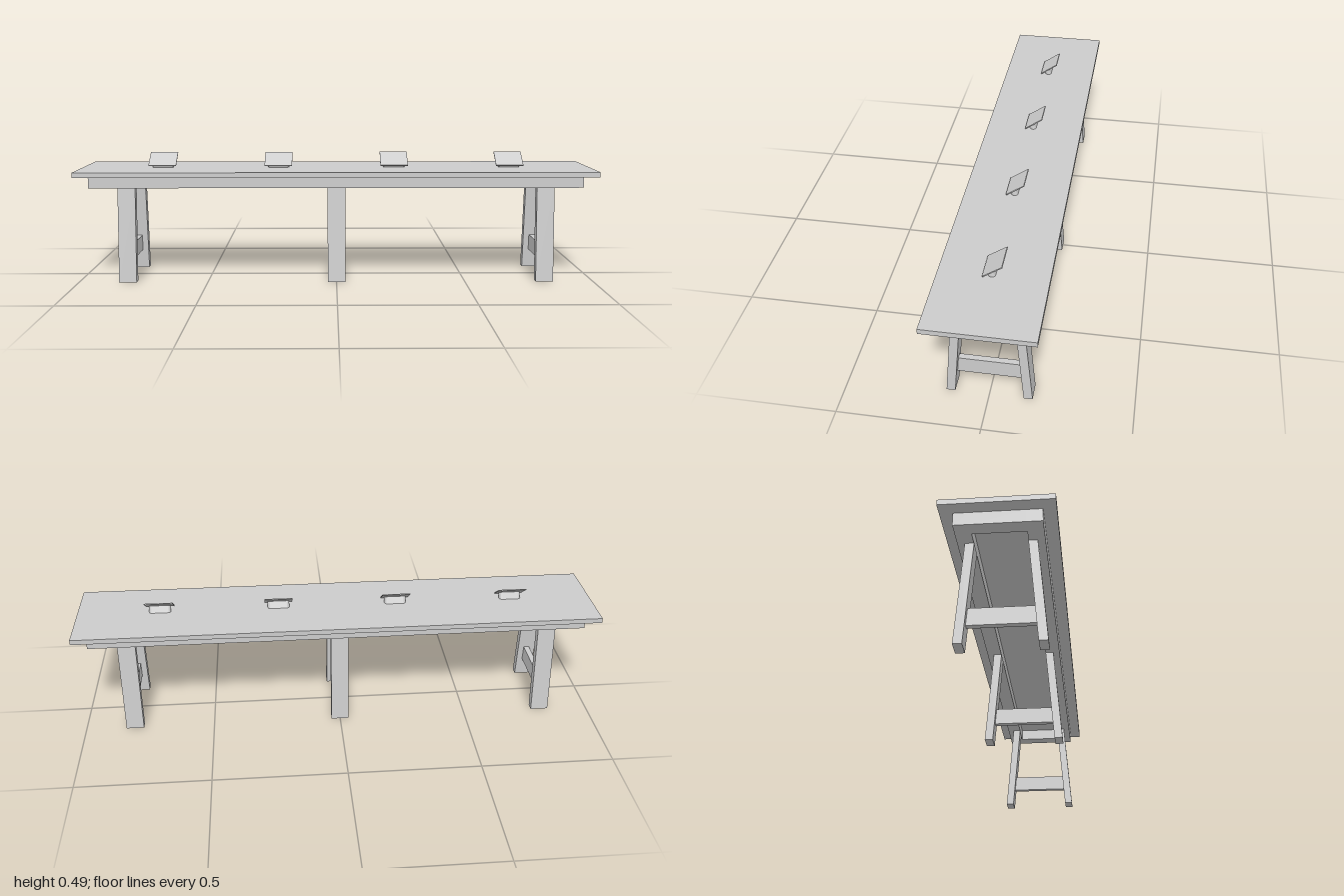
import * as THREE from 'three';

const material = new THREE.MeshStandardMaterial({ color: 0xcccccc });

function add(parent, name, geometry, x = 0, y = 0, z = 0) {
  const mesh = new THREE.Mesh(geometry, material);
  mesh.name = name;
  mesh.position.set(x, y, z);
  parent.add(mesh);
  return mesh;
}

// Prism with a (z, y) outline, centred along x
function prism(outline, width) {
  const shape = new THREE.Shape(outline.map(([z, y]) => new THREE.Vector2(z, y)));
  const g = new THREE.ExtrudeGeometry(shape, { depth: width, bevelEnabled: false });
  return g.translate(0, 0, -width / 2).rotateY(-Math.PI / 2);
}

// Rounded-end bar outline, extruded upward
function stemGeometry(width, depth, height) {
  const r = depth / 2, h = width / 2 - r;
  const s = new THREE.Shape();
  s.moveTo(-h, -r);
  s.lineTo(h, -r);
  s.absarc(h, 0, r, -Math.PI / 2, Math.PI / 2, false);
  s.lineTo(-h, r);
  s.absarc(-h, 0, r, Math.PI / 2, Math.PI * 1.5, false);
  return new THREE.ExtrudeGeometry(s, { depth: height, bevelEnabled: false, curveSegments: 12 })
    .rotateX(-Math.PI / 2);
}

export function createModel() {
  const model = new THREE.Group();
  model.name = 'longTable';

  // Table top
  add(model, 'tableTop', new THREE.BoxGeometry(2, 0.019, 0.378), 0, 0.4235, 0);

  // Open rail frame under the top
  const rail = 0.055, railH = 0.046, railY = 0.391;
  for (const s of [-1, 1]) {
    add(model, 'longRail', new THREE.BoxGeometry(1.9, railH, rail), 0, railY, s * (0.145 - rail / 2));
    add(model, 'endRail', new THREE.BoxGeometry(rail, railH, 0.29 - 2 * rail), s * (0.95 - rail / 2), railY, 0);
  }

  // Trestles: two splayed legs joined by a brace
  const legOutline = [[0.12, 0], [0.151, 0], [0.12, 0.368], [0.089, 0.368]];
  const braceOutline = [[-0.114, 0.075], [0.114, 0.075], [0.1085, 0.137], [-0.1085, 0.137]];
  for (const x of [-0.81, 0, 0.81]) {
    const trestle = new THREE.Group();
    trestle.name = 'trestle';
    trestle.position.x = x;
    add(trestle, 'frontLeg', prism(legOutline, 0.068));
    add(trestle, 'backLeg', prism(legOutline, 0.068)).rotation.y = Math.PI;
    add(trestle, 'brace', prism(braceOutline, 0.022));
    model.add(trestle);
  }

  // Tilted plates on short rounded stems
  for (const x of [-0.684, -0.228, 0.228, 0.684]) {
    const stand = new THREE.Group();
    stand.name = 'tiltedStand';
    stand.position.x = x;
    const stem = add(stand, 'stem', stemGeometry(0.084, 0.023, 0.033), 0, 0.424, 0.0015);
    stem.rotation.x = THREE.MathUtils.degToRad(24);
    const plate = add(stand, 'plate', new THREE.BoxGeometry(0.108, 0.004, 0.081), 0, 0.4645, 0.0005);
    plate.rotation.x = THREE.MathUtils.degToRad(35);
    model.add(stand);
  }
  return model;
}
